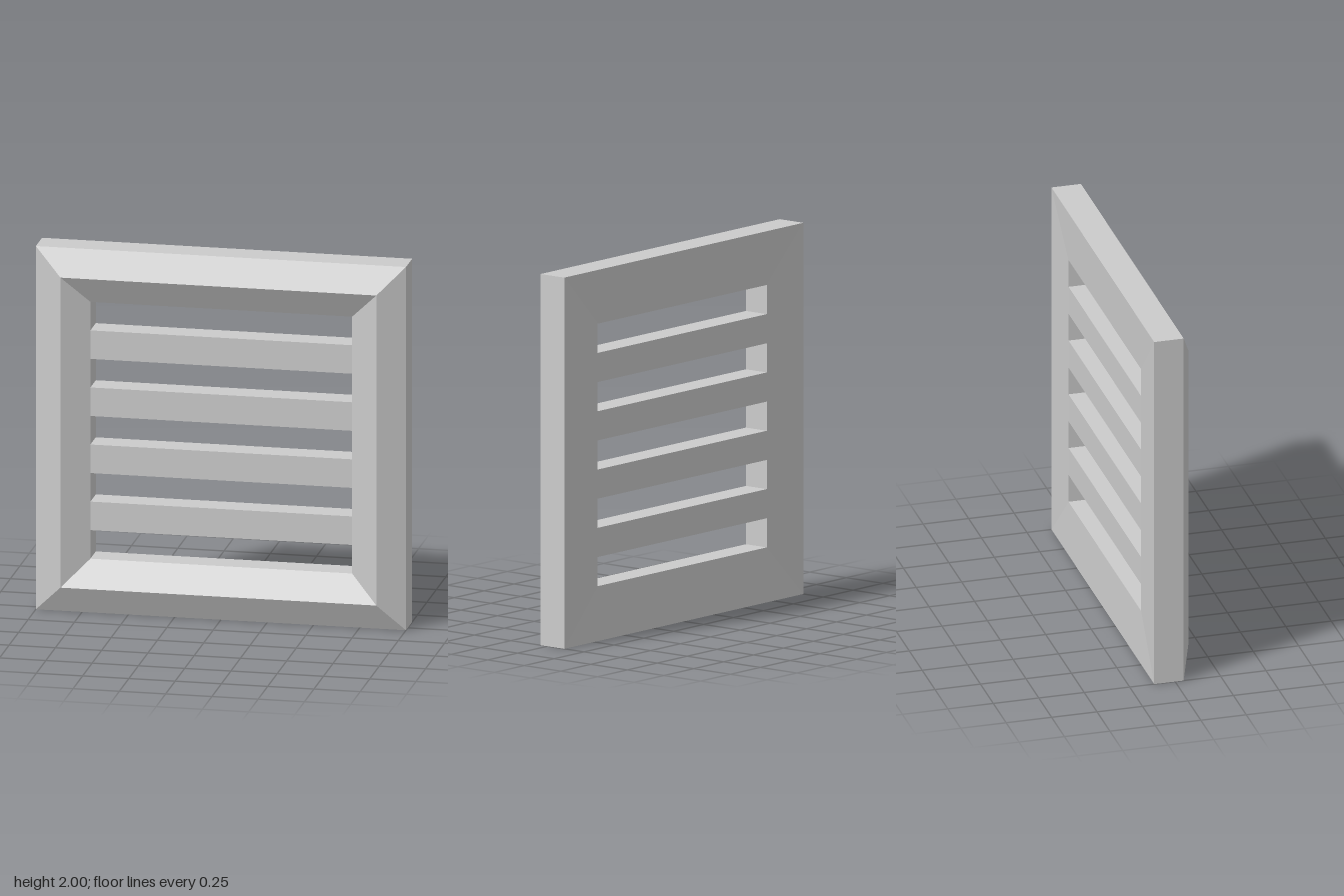
import * as THREE from 'three';

const OUTER = 1, INNER = 0.707, RIDGE = (OUTER + INNER) / 2;
const FRONT = 0.038, BACK = -0.104; // depth range at the opening
const SLATS = 4;

export function createModel() {
  const group = new THREE.Group();
  group.name = 'louvreVent';
  const material = new THREE.MeshStandardMaterial({ color: 0xcccccc, flatShading: true });

  // Mitred square frame: a closed profile turned in four steps
  const profile = [
    [OUTER, -0.115], [OUTER, 0.047], [RIDGE, 0.115],
    [INNER, FRONT], [INNER, BACK], [OUTER, -0.115],
  ].map(([r, z]) => new THREE.Vector2(r * Math.SQRT2, z));
  const frameGeometry = new THREE.LatheGeometry(profile, 4, Math.PI / 4)
    .rotateX(Math.PI / 2)
    .toNonIndexed();
  frameGeometry.computeVertexNormals();
  const frame = new THREE.Mesh(frameGeometry, material);
  frame.name = 'frame';
  frame.position.y = 1;
  group.add(frame);

  // Horizontal slats, with gaps as tall as the slats
  const step = (2 * INNER) / (2 * SLATS + 1);
  const slatGeometry = new THREE.BoxGeometry(2 * INNER, step, FRONT - BACK);
  for (let i = 0; i < SLATS; i++) {
    const slat = new THREE.Mesh(slatGeometry, material);
    slat.name = `slat${i + 1}`;
    slat.position.set(0, 1 - INNER + step * (2 * i + 1.5), (FRONT + BACK) / 2);
    group.add(slat);
  }
  return group;
}
